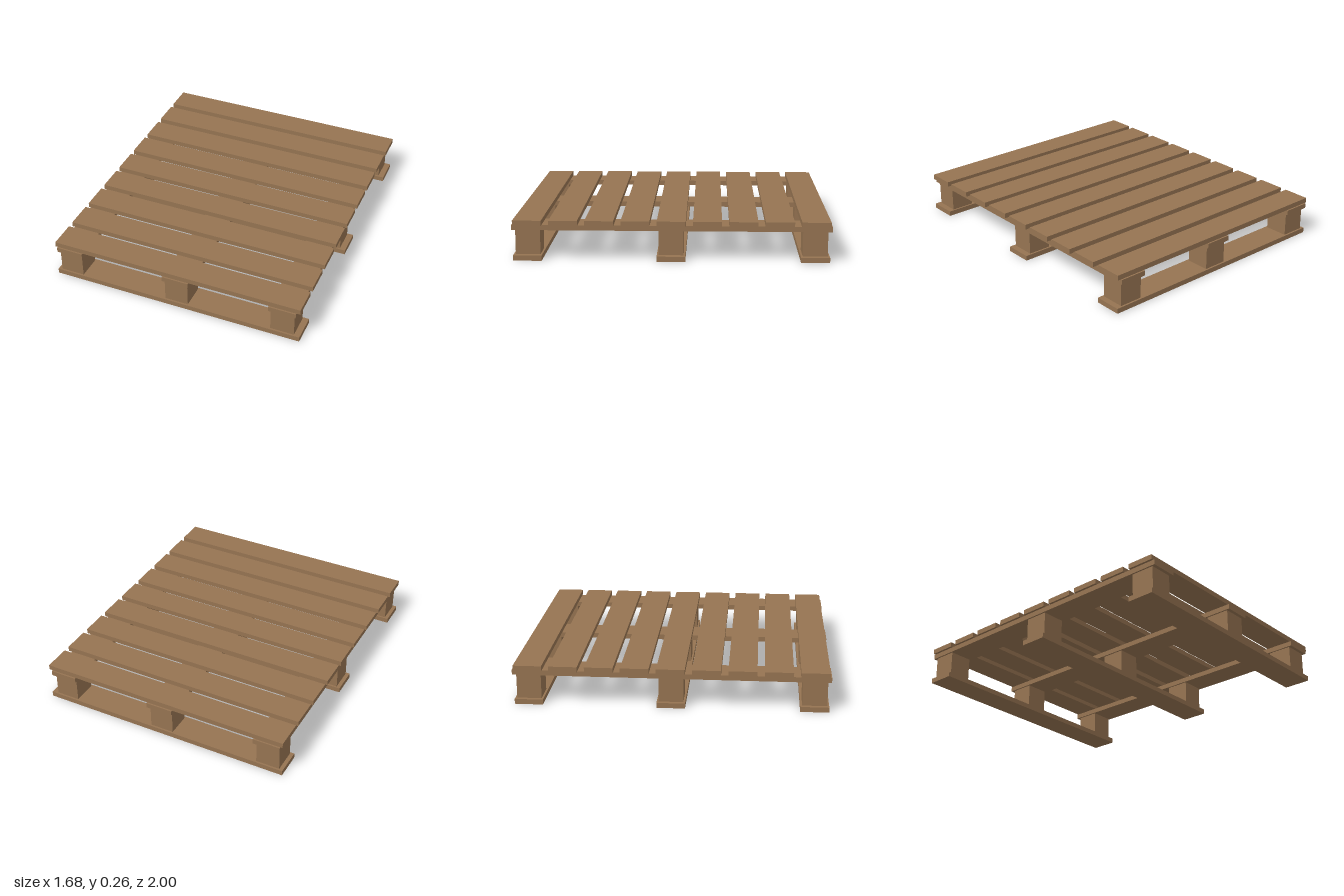
import * as THREE from 'three';

export function createModel() {
  const pallet = new THREE.Group();
  pallet.name = 'pallet';
  const wood = new THREE.MeshStandardMaterial({ color: 0x967452 });
  wood.name = 'wood';

  // Box placed by its centre in x and z, and its bottom and top heights
  const plank = (name, width, depth, bottom, top, x, z) => {
    const mesh = new THREE.Mesh(new THREE.BoxGeometry(width, top - bottom, depth), wood);
    mesh.name = name;
    mesh.position.set(x, (bottom + top) / 2, z);
    pallet.add(mesh);
  };

  const columns = [-0.735, 0.011, 0.725];
  const rows = [-0.897, 0.002, 0.9];

  // Nine deck boards across the top
  for (let i = 0; i < 9; i++) plank('deckBoard', 1.68, 0.18, 0.224, 0.257, 0, -0.9 + i * 0.225);

  // Three stringers running front to back beneath the deck
  for (const x of columns) plank('stringer', 0.18, 2, 0.191, 0.224, x, 0);

  // Three bottom runners, each carrying three blocks
  for (const z of rows) {
    plank('bottomRunner', 1.68, 0.18, 0, 0.033, 0, z);
    for (const x of columns) plank('spacerBlock', 0.156, 0.156, 0.033, 0.191, x - 0.002, z);
  }

  return pallet;
}
